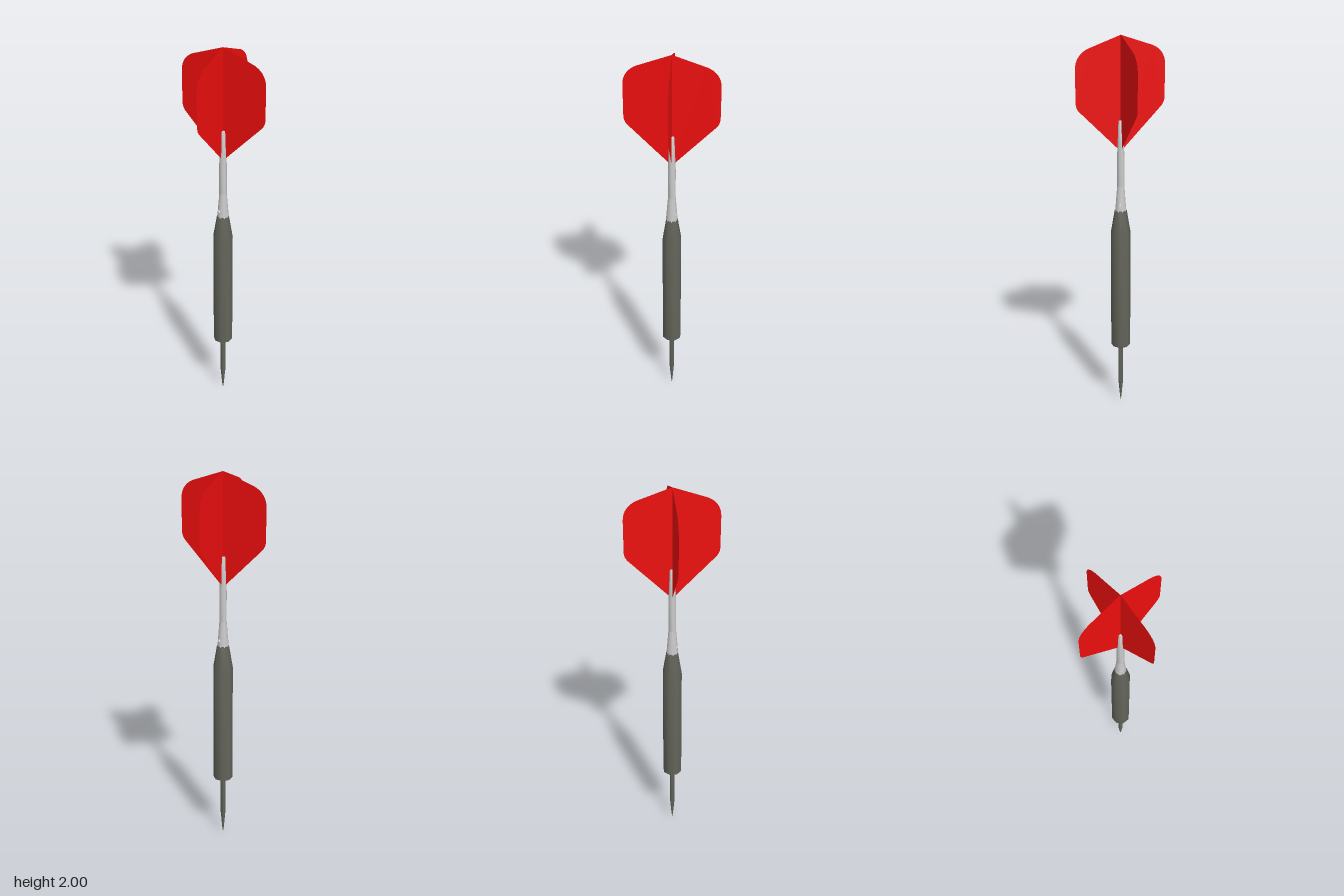
import * as THREE from 'three';
import { toCreasedNormals } from 'three/addons/utils/BufferGeometryUtils.js';

const SIDES = 8;
const HALF = Math.PI / SIDES;

const material = (color, side = THREE.FrontSide) => new THREE.MeshStandardMaterial({ color, side });

function addMesh(parent, name, geometry, mat) {
  const mesh = new THREE.Mesh(geometry, mat);
  mesh.name = name;
  parent.add(mesh);
  return mesh;
}

// Eight-sided turned part from [radius, height] pairs, listed bottom to top
function turned(profile) {
  const points = profile.map(([r, y]) => new THREE.Vector2(r, y));
  return toCreasedNormals(new THREE.LatheGeometry(points, SIDES).toNonIndexed(), 1.0);
}

// One facet of the tapered collar, optionally pierced by a round hole
function collarPanel(y0, y1, a0, a1, hole) {
  const t = Math.tan(HALF);
  const shape = new THREE.Shape([
    new THREE.Vector2(-a0 * t, y0), new THREE.Vector2(a0 * t, y0),
    new THREE.Vector2(a1 * t, y1), new THREE.Vector2(-a1 * t, y1),
  ]);
  if (hole) shape.holes.push(new THREE.Path().absarc(0, hole.y, hole.r, 0, Math.PI * 2, true));
  const geometry = new THREE.ShapeGeometry(shape, 8);
  const pos = geometry.attributes.position;
  const normal = geometry.attributes.normal;
  for (let i = 0; i < pos.count; i++) {
    // Lean the panel onto the cone and round its normals
    const u = pos.getX(i), y = pos.getY(i);
    const apothem = THREE.MathUtils.mapLinear(y, y0, y1, a0, a1);
    pos.setXYZ(i, u, y, apothem);
    const n = new THREE.Vector3(u, 0.08 * apothem, apothem).normalize();
    normal.setXYZ(i, n.x, n.y, n.z);
  }
  return geometry;
}

export function createModel() {
  const dart = new THREE.Group();
  dart.name = 'dart';
  const dark = material(0x62645a);
  const grey = material(0xcccccc);
  const greyOpen = material(0xcccccc, THREE.DoubleSide);
  const red = material(0xee0e0e, THREE.DoubleSide);

  // Needle point and weighted barrel
  addMesh(dart, 'point', turned([[0, 0], [0.004, 0.025], [0.013, 0.125], [0.013, 0.34]]), dark);
  addMesh(dart, 'barrel', turned([
    [0, 0.333], [0.03, 0.333], [0.051, 0.345], [0.051, 0.99], [0.031, 1.11], [0, 1.11],
  ]), dark);

  // Shaft: pierced collar, then a slim stem narrowing into the flights
  const shaft = new THREE.Group();
  shaft.name = 'shaft';
  dart.add(shaft);
  const hole = { y: 1.143, r: 0.009 };
  for (let i = 0; i < SIDES; i++) {
    const pierced = i % 4 === 2;
    const panel = addMesh(shaft, pierced ? 'piercedCollarPanel' : 'collarPanel',
      collarPanel(1.105, 1.24, 0.028, 0.018, pierced ? hole : null), greyOpen);
    panel.rotation.y = i * 2 * HALF;
  }
  const bore = addMesh(shaft, 'crossHole',
    new THREE.CylinderGeometry(hole.r, hole.r, 0.05, 12, 1, true), greyOpen);
  bore.rotation.z = Math.PI / 2;
  bore.position.y = hole.y;
  const stem = addMesh(shaft, 'stem', turned([
    [0.0195, 1.24], [0.0195, 1.4], [0.017, 1.46], [0.0125, 1.575], [0.01, 1.58], [0, 1.58],
  ]), grey);
  stem.rotation.y = HALF;

  // Four thin flights
  const fin = new THREE.Shape();
  fin.moveTo(0, 1.42);
  fin.lineTo(0.213, 1.635);
  fin.quadraticCurveTo(0.233, 1.655, 0.233, 1.685);
  fin.lineTo(0.233, 1.845);
  fin.bezierCurveTo(0.233, 1.895, 0.205, 1.927, 0.165, 1.943);
  fin.lineTo(0, 2);
  const finGeometry = new THREE.ShapeGeometry(fin, 8);
  for (let i = 0; i < 4; i++) {
    addMesh(dart, 'flight', finGeometry, red).rotation.y = HALF + i * Math.PI / 2;
  }
  return dart;
}
